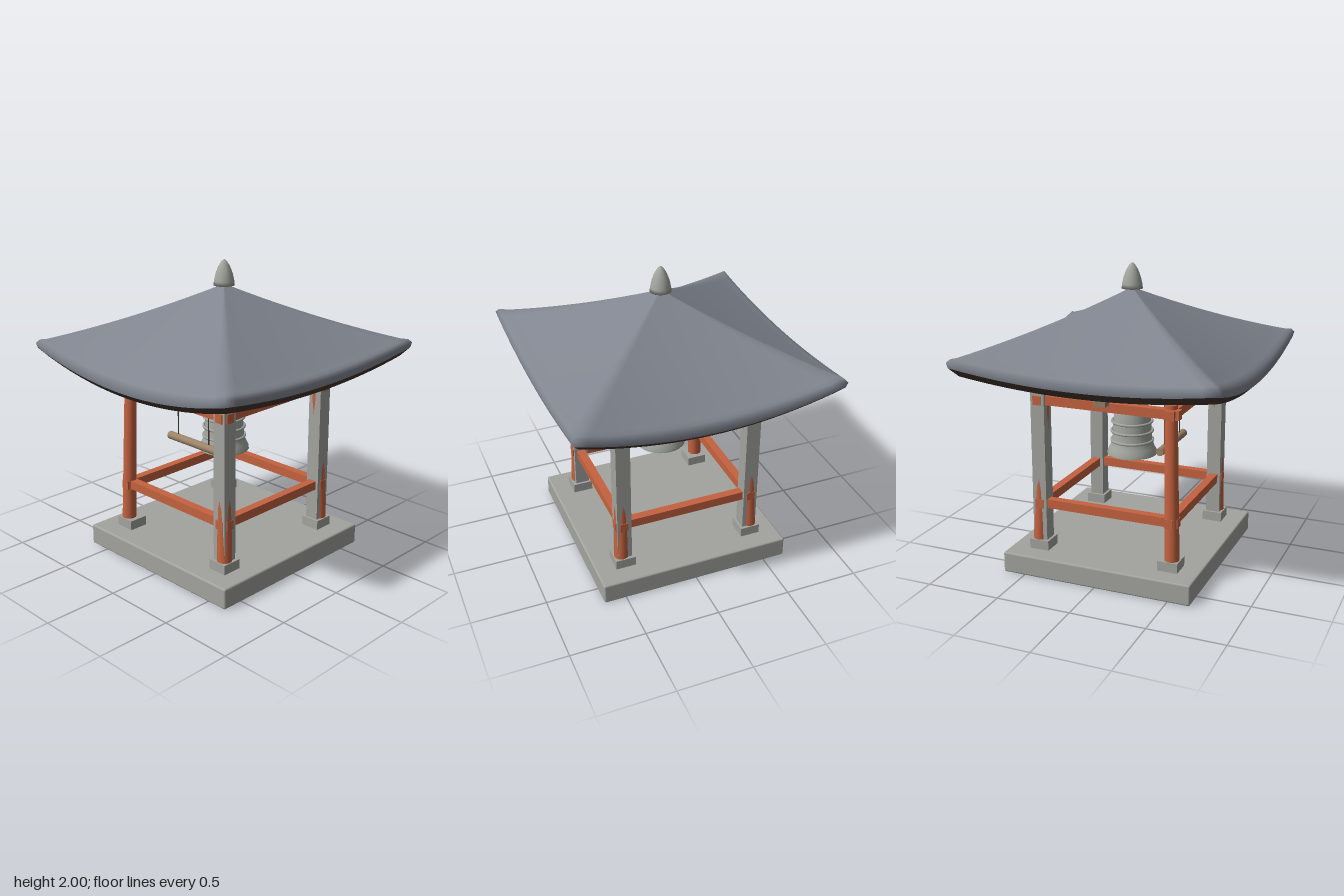
import * as THREE from 'three';
import { toCreasedNormals } from 'three/addons/utils/BufferGeometryUtils.js';
import { RoundedBoxGeometry } from 'three/addons/geometries/RoundedBoxGeometry.js';

const mat = (name, color) => {
  const m = new THREE.MeshStandardMaterial({ color });
  m.name = name;
  return m;
};

// Square rings swept along a profile of [half width, corner height, sag at the middle of each eave]
function squareLoft(profile, n = 20) {
  const pos = [], idx = [], count = 4 * n;
  for (const [s, y, sag] of profile) {
    for (let k = 0; k < count; k++) {
      const side = Math.floor(k / n), v = ((k % n) / n) * 2 - 1;
      const a = side * Math.PI / 2, c = Math.round(Math.cos(a)), d = Math.round(Math.sin(a));
      const drop = sag * (side % 2 ? 0.55 : 1) * (1 - v * v);
      pos.push(v * s * c + s * d, y - drop, s * c - v * s * d);
    }
  }
  for (let j = 0; j < profile.length - 1; j++) {
    for (let k = 0; k < count; k++) {
      const k2 = (k + 1) % count;
      const a = j * count + k, b = j * count + k2, c = a + count, d = b + count;
      idx.push(a, c, d, a, d, b);
    }
  }
  const g = new THREE.BufferGeometry();
  g.setAttribute('position', new THREE.Float32BufferAttribute(pos, 3));
  g.setIndex(idx);
  g.computeVertexNormals();
  return g;
}

const lathe = (pts, seg) =>
  new THREE.LatheGeometry(pts.map(([r, y]) => new THREE.Vector2(r, y)), seg);

export function createModel() {
  const model = new THREE.Group();
  model.name = 'bellPavilion';
  const stone = mat('stone', 0xa3a49e);
  const vermilion = mat('vermilion', 0xc4623f);
  const slate = mat('slate', 0x80858f);
  const wood = mat('wood', 0x917e69);
  const darkWood = mat('darkWood', 0x46362f);
  const logWood = mat('logWood', 0x9c8468);
  const bronze = mat('bronze', 0xa3a69f);
  bronze.side = THREE.DoubleSide;

  const add = (name, geo, material, x = 0, y = 0, z = 0, parent = model) => {
    const m = new THREE.Mesh(geo, material);
    m.name = name;
    m.position.set(x, y, z);
    parent.add(m);
    return m;
  };

  // Plinth
  add('plinth', new RoundedBoxGeometry(1.3, 0.14, 1.3, 2, 0.012), stone, 0, 0.07, 0);

  // Corner supports: footings, leaning columns and square posts
  const footing = new THREE.BoxGeometry(0.135, 0.065, 0.135);
  const post = new THREE.BoxGeometry(0.096, 1.07, 0.096);
  const up = new THREE.Vector3(0, 1, 0);
  for (const sx of [-1, 1]) for (const sz of [-1, 1]) {
    add('footing', footing, stone, sx * 0.452, 0.1725, sz * 0.452);
    const base = new THREE.Vector3(sx * 0.465, 0.2, sz * 0.465);
    const top = new THREE.Vector3(sx * 0.437, 1.215, sz * 0.437);
    const dir = top.clone().sub(base);
    const mid = base.clone().add(top).multiplyScalar(0.5);
    const column = add('column', new THREE.CylinderGeometry(0.04, 0.048, dir.length(), 20),
      vermilion, mid.x, mid.y, mid.z);
    column.quaternion.setFromUnitVectors(up, dir.normalize());
    // The front right corner has only its column
    if (sx > 0 || sz < 0) add('post', post, stone, sx * 0.45, 0.735, sz * 0.45);
  }

  // Tie beams on all four sides, at two heights
  const tie = new THREE.BoxGeometry(1.008, 0.06, 0.056);
  for (const y of [0.456, 1.16]) for (let i = 0; i < 4; i++) {
    const a = i * Math.PI / 2;
    add('tieBeam', tie, vermilion, Math.sin(a) * 0.452, y, Math.cos(a) * 0.452).rotation.y = a;
  }

  // Beam that carries the bell
  add('bellBeam', new THREE.BoxGeometry(1.064, 0.08, 0.08), wood, 0, 1.215, 0);

  // Bell with raised bands
  const bell = new THREE.Group();
  bell.name = 'bell';
  model.add(bell);
  add('bellBody', toCreasedNormals(lathe([
    [0.15, 0.715], [0.168, 0.715], [0.167, 0.732], [0.15, 0.765], [0.137, 0.8], [0.132, 0.86],
    [0.127, 0.94], [0.119, 1.0], [0.106, 1.065], [0.092, 1.08], [0.06, 1.088], [0, 1.088],
  ], 28), 0.6), bronze, 0, 0, 0, bell);
  for (const [y, r] of [[0.81, 0.14], [0.875, 0.138], [0.94, 0.135]]) {
    add('bellBand', new THREE.TorusGeometry(r, 0.009, 8, 32), bronze, 0, y, 0, bell).rotation.x = Math.PI / 2;
  }

  // Hanging striker log and its ropes
  add('strikerLog', new THREE.CylinderGeometry(0.027, 0.027, 0.45, 16), logWood, 0, 0.823, 0.285)
    .rotation.z = Math.PI / 2;
  for (const x of [-0.143, 0.143]) {
    add('strikerRope', new THREE.CylinderGeometry(0.004, 0.004, 0.36, 6), darkWood, x, 1.02, 0.285);
  }

  // Curved hipped roof, its sag growing towards the eaves
  const hip = (s) => 1.84 - 0.56 * s + 0.14 * s * s;
  const slope = [];
  for (let i = 0; i <= 14; i++) {
    const s = 0.82 * i / 14;
    slope.push([s, hip(s), 0.09 * Math.pow(i / 14, 2.2)]);
  }
  add('roof', squareLoft([...slope, [0.85, 1.472, 0.1], [0.87, 1.45, 0.11], [0.862, 1.415, 0.122]]), slate);
  add('eaveTrim', toCreasedNormals(squareLoft([
    [0.862, 1.415, 0.122], [0.815, 1.358, 0.108], [0.745, 1.42, 0.085],
  ]), 0.6), darkWood);
  const soffit = [];
  for (let i = 8; i >= 0; i--) {
    const s = 0.745 * i / 8;
    soffit.push([s, hip(s) - 0.08, 0.085 * Math.pow(i / 8, 2.2)]);
  }
  add('soffit', squareLoft(soffit), wood);

  // Roof finial
  add('finial', lathe([
    [0, 1.832], [0.069, 1.832], [0.066, 1.86], [0.056, 1.905], [0.038, 1.953], [0.018, 1.985], [0, 2.0],
  ], 20), bronze);

  return model;
}
